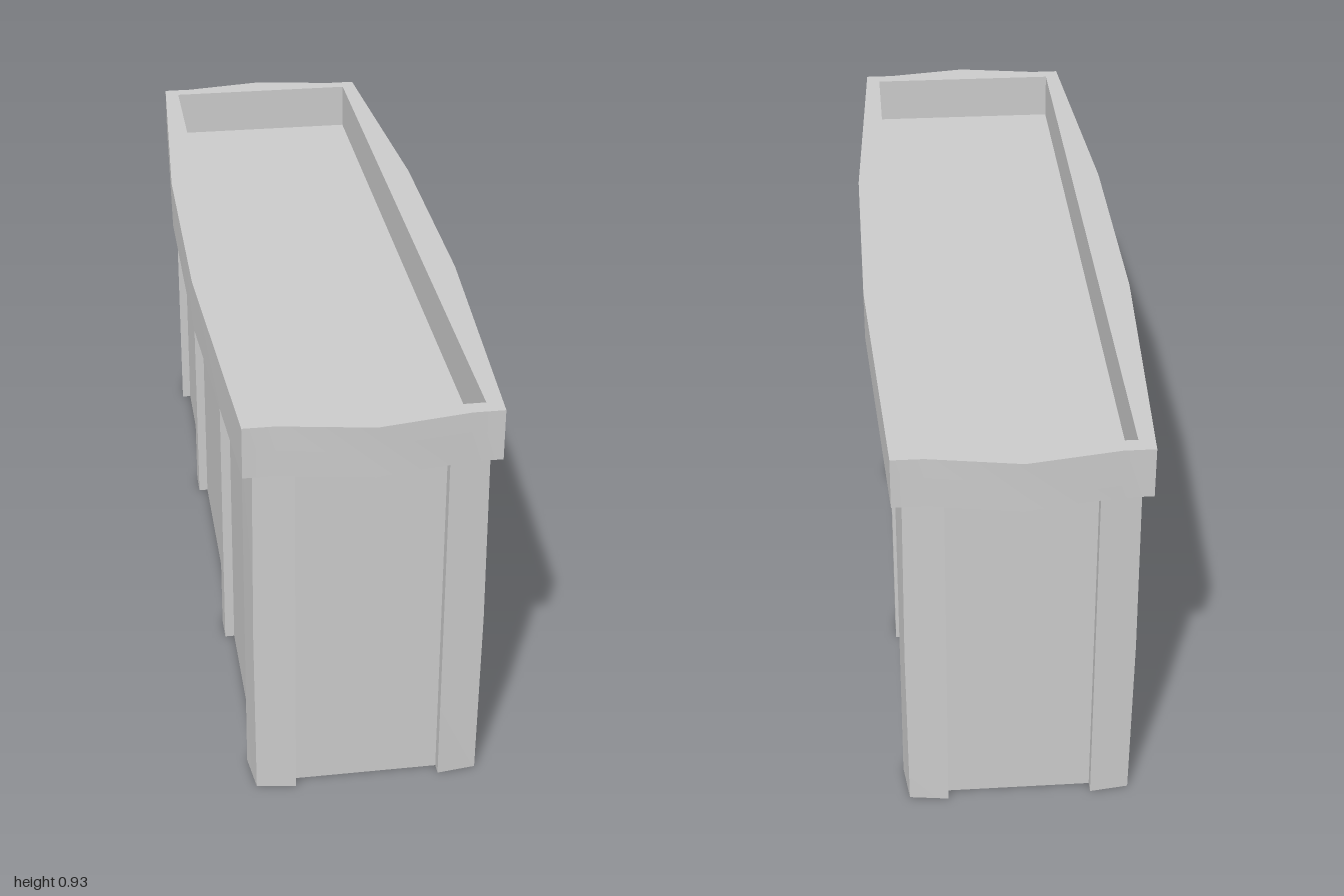
import * as THREE from 'three';
import { toCreasedNormals } from 'three/addons/utils/BufferGeometryUtils.js';

const BODY_H = 0.815, TOP = 0.93; // wall height, rim top
const BX = 0.235, BZ = 0.93;      // half width and half length of the box
const CREASE = Math.PI / 6;       // gentler bends than this shade smoothly

// Extrudes a plan outline of [x, z] points upward from y0 to y1.
// A hole must run the opposite way round to the outline.
function prism(points, y0, y1, hole, steps = 1) {
  const toVec = ([x, z]) => new THREE.Vector2(x, -z);
  const shape = new THREE.Shape(points.map(toVec));
  if (hole) shape.holes.push(new THREE.Path(hole.map(toVec)));
  const geo = new THREE.ExtrudeGeometry(shape, { depth: y1 - y0, steps, bevelEnabled: false });
  return geo.rotateX(-Math.PI / 2).translate(0, y0, 0);
}

export function createModel() {
  const group = new THREE.Group();
  const material = new THREE.MeshStandardMaterial({ color: 0xcccccc });
  const add = (name, geo) => {
    const mesh = new THREE.Mesh(geo, material);
    mesh.name = name;
    group.add(mesh);
  };

  // Box body; its top is the sunken floor inside the rim
  add('body', new THREE.BoxGeometry(BX * 2, BODY_H, BZ * 2).translate(0, BODY_H / 2, 0));

  // Bowed rim with a rectangular opening
  const quarter = [[0.305, 0.29], [0.268, 0.967], [0.2, 0.967]];
  const half = [...quarter, [0, 1], ...quarter.map(([x, z]) => [-x, z]).reverse()];
  const outline = [...half, ...half.map(([x, z]) => [-x, -z])];
  const opening = [[BX, BZ], [BX, -BZ], [-BX, -BZ], [-BX, BZ]];
  add('rim', toCreasedNormals(prism(outline, BODY_H, TOP, opening), CREASE));

  for (const sx of [-1, 1]) {
    for (const sz of [-1, 1]) {
      // L-shaped corner post whose outer edge swells slightly at mid height
      const plan = [
        [BX, 0.852], [0.257, 0.852], [0.246, 0.945],
        [0.16, 0.956], [0.16, BZ], [BX, BZ],
      ].map(([x, z]) => [x * sx, z * sz]);
      const geo = prism(plan, 0, BODY_H, null, 2);
      const p = geo.attributes.position;
      for (let i = 0; i < p.count; i++) {
        const onEdge = Math.abs(p.getX(i)) > 0.24 && Math.abs(p.getZ(i)) > 0.94;
        if (onEdge && Math.abs(p.getY(i) - BODY_H / 2) < 0.01) {
          p.setX(i, 0.249 * sx);
          p.setZ(i, 0.948 * sz);
        }
      }
      add('cornerPost', toCreasedNormals(geo, CREASE));

      // Side batten
      const batten = new THREE.BoxGeometry(0.257 - BX, BODY_H, 0.067);
      add('sideBatten', batten.translate(sx * (0.257 + BX) / 2, BODY_H / 2, sz * 0.345));
    }
  }
  return group;
}
